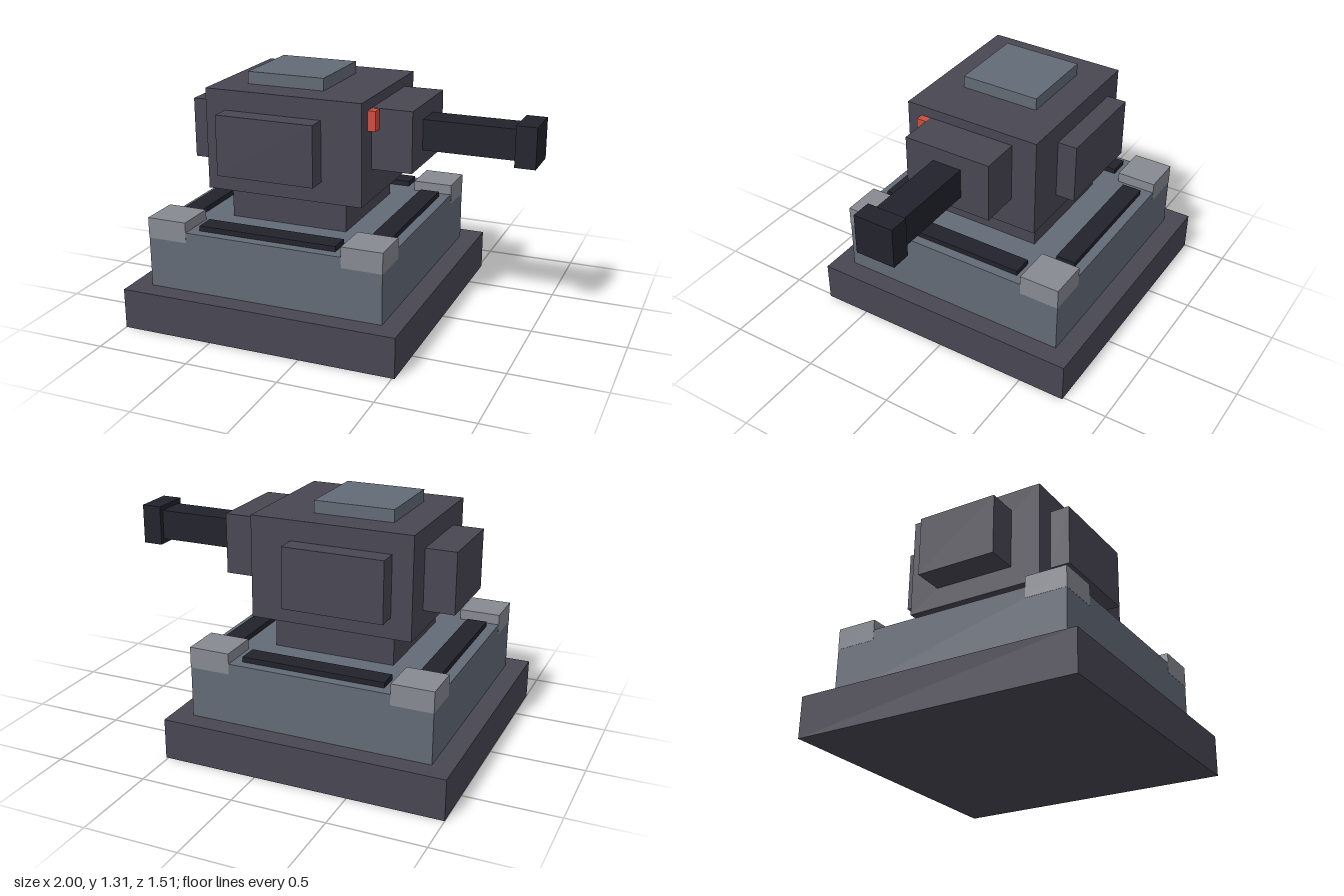
import * as THREE from 'three';

const flat = (name, color) => {
  const m = new THREE.MeshStandardMaterial({ color });
  m.name = name;
  return m;
};

export function createModel() {
  const gunmetal = flat('gunmetal', 0x484652);
  const steel = flat('steel', 0x626a76);
  const lightSteel = flat('lightSteel', 0x868991);
  const black = flat('black', 0x22222c);
  const red = flat('red', 0xcf4d3f);

  const model = new THREE.Group();
  model.name = 'gunTurret';

  // Box given by its extents along x, y and z
  const box = (name, material, [x0, x1], [y0, y1], [z0, z1], parent = model) => {
    const mesh = new THREE.Mesh(new THREE.BoxGeometry(x1 - x0, y1 - y0, z1 - z0), material);
    mesh.position.set((x0 + x1) / 2, (y0 + y1) / 2, (z0 + z1) / 2);
    mesh.name = name;
    parent.add(mesh);
    return mesh;
  };

  // Stepped pedestal
  const cx = -0.243; // turret axis
  box('basePlate', gunmetal, [-1, 0.513], [0, 0.217], [-0.757, 0.757]);
  box('pedestal', steel, [-0.892, 0.405], [0.217, 0.542], [-0.649, 0.649]);

  // Corner caps and trim strips around the pedestal top
  for (const sx of [-1, 1]) {
    for (const sz of [-1, 1]) {
      const cap = box('cornerCap', lightSteel, [-0.109, 0.109], [0.486, 0.597], [-0.109, 0.109]);
      cap.position.x = cx + sx * 0.541;
      cap.position.z = sz * 0.541;
    }
    const side = box('sideStrip', black, [-0.054, 0.054], [0.52, 0.57], [-0.38, 0.38]);
    side.position.x = cx + sx * 0.541;
    const edge = box('edgeStrip', black, [cx - 0.38, cx + 0.38], [0.52, 0.57], [-0.054, 0.054]);
    edge.position.z = sx * 0.541;
  }

  // Rotating head
  const head = new THREE.Group();
  head.name = 'head';
  model.add(head);
  box('neck', gunmetal, [-0.567, 0.081], [0.542, 0.708], [-0.324, 0.324], head);
  box('housing', gunmetal, [-0.676, 0.189], [0.705, 1.245], [-0.38, 0.38], head);
  box('hatch', steel, [-0.513, -0.084], [1.245, 1.311], [-0.217, 0.217], head);
  box('counterweight', gunmetal, [-0.84, -0.676], [0.815, 1.138], [-0.219, 0.219], head);
  box('frontSidePanel', gunmetal, [-0.567, -0.03], [0.815, 1.138], [0.38, 0.486], head);
  box('backSidePanel', gunmetal, [-0.567, -0.03], [0.815, 1.138], [-0.486, -0.38], head);

  // Gun and indicator lamp
  box('mantlet', gunmetal, [0.189, 0.405], [0.87, 1.192], [-0.243, 0.243], head);
  box('barrel', black, [0.405, 0.895], [0.95, 1.112], [-0.081, 0.081], head);
  box('muzzle', black, [0.892, 1], [0.922, 1.138], [-0.108, 0.108], head);
  box('indicatorLamp', red, [0.189, 0.23], [1.085, 1.19], [0.243, 0.299], head);

  return model;
}
